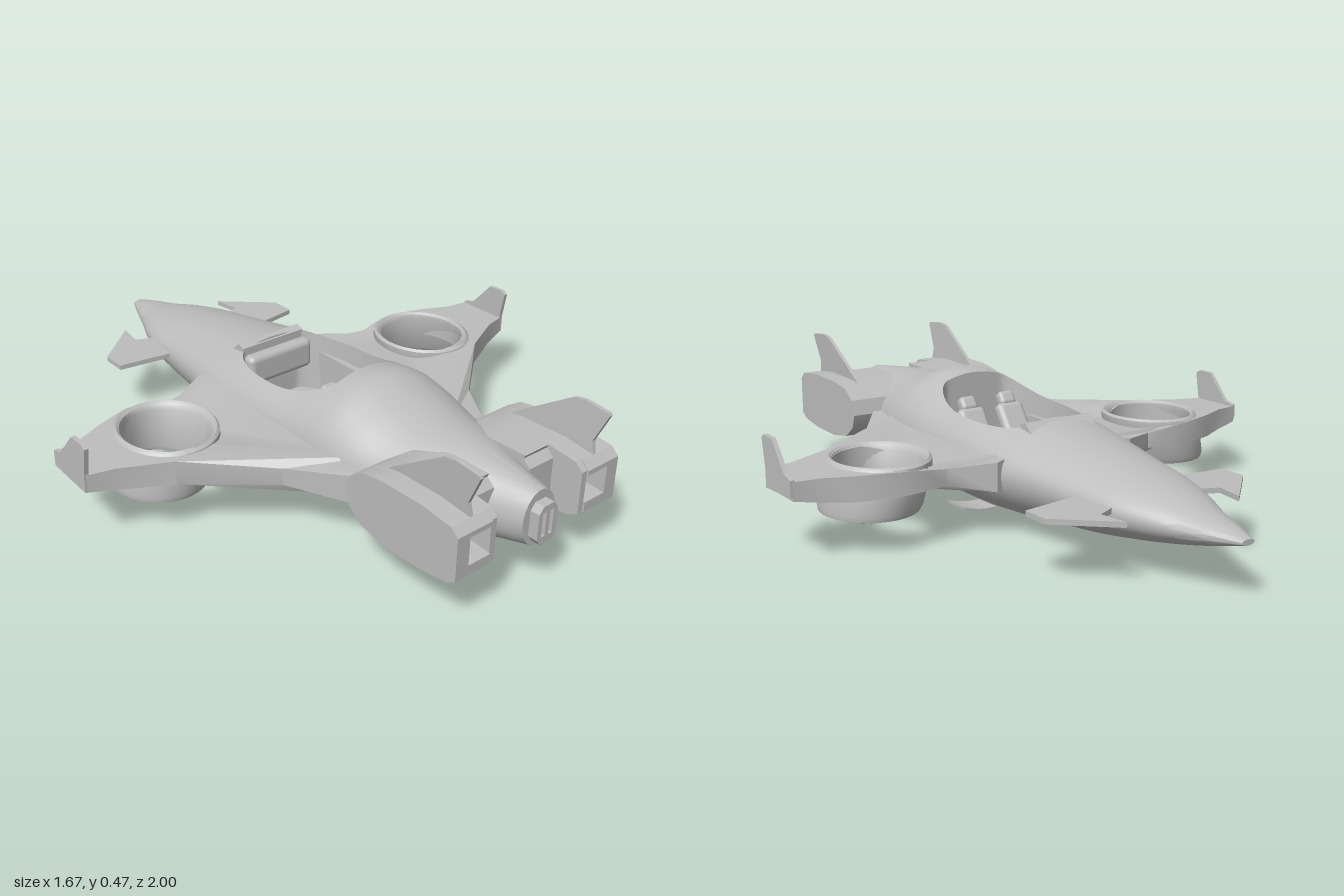
import * as THREE from 'three';
import { toCreasedNormals } from 'three/addons/utils/BufferGeometryUtils.js';
import { RoundedBoxGeometry } from 'three/addons/geometries/RoundedBoxGeometry.js';

const V2 = (p) => new THREE.Vector2(p[0], p[1]);

// Linear lookup in a list of [key, value]
function lookup(list, k) {
  for (let i = 1; i < list.length; i++) {
    if (k <= list[i][0]) {
      const [a, va] = list[i - 1], [b, vb] = list[i];
      return THREE.MathUtils.lerp(va, vb, Math.max(0, (k - a) / (b - a)));
    }
  }
  return list[list.length - 1][1];
}

// Mirror a geometry to the other side, keeping faces outward
function mirrored(geo) {
  const g = geo.index ? geo.toNonIndexed() : geo.clone();
  g.scale(-1, 1, 1);
  for (const key of ['position', 'normal']) {
    const a = g.attributes[key];
    for (let i = 0; i < a.count; i += 3) {
      const p = new THREE.Vector3().fromBufferAttribute(a, i + 1);
      const q = new THREE.Vector3().fromBufferAttribute(a, i + 2);
      a.setXYZ(i + 1, q.x, q.y, q.z);
      a.setXYZ(i + 2, p.x, p.y, p.z);
    }
  }
  return g;
}

function extrude(shape, depth) {
  return new THREE.ExtrudeGeometry(shape, { depth, bevelEnabled: false, curveSegments: 24 });
}
// Outline in (z, y), thickened from x0 to x1
function slabX(shape, x0, x1) {
  return extrude(shape, x1 - x0).rotateY(-Math.PI / 2).translate(x1, 0, 0);
}
// Outline in (x, z), thickened downward from y1 to y0
function slabY(shape, y0, y1) {
  return extrude(shape, y1 - y0).rotateX(Math.PI / 2).translate(0, y1, 0);
}
function reshape(geo, rule) {
  const a = geo.attributes.position, v = new THREE.Vector3();
  for (let i = 0; i < a.count; i++) {
    rule(v.fromBufferAttribute(a, i));
    a.setXYZ(i, v.x, v.y, v.z);
  }
  geo.computeVertexNormals();
  return geo;
}

// Hull stations: z, half width, top, bottom, height of widest line
const STATIONS = [
  [-1, .022, .175, .158, .166], [-.92, .055, .195, .135, .165], [-.84, .085, .21, .115, .165],
  [-.74, .13, .235, .095, .17], [-.64, .163, .255, .078, .175], [-.5, .185, .28, .055, .18],
  [-.35, .21, .303, .04, .19], [-.2, .238, .325, .025, .195], [0, .25, .355, .012, .2],
  [.15, .25, .37, .012, .2], [.28, .25, .398, .018, .2], [.36, .248, .407, .025, .2],
  [.45, .24, .385, .035, .2], [.55, .215, .36, .05, .2], [.7, .17, .345, .08, .21],
  [.85, .1, .33, .115, .22], [.97, .062, .315, .145, .23],
];
const COCKPIT = [-.17, .28], FLOOR = .11;

function hullGeometry() {
  const curve = new THREE.CubicInterpolant(
    STATIONS.map((s) => s[0]), STATIONS.flatMap((s) => s.slice(1)), 4, new Float32Array(4));
  const M = 16, K = 8, [c0, c1] = COCKPIT;

  function ring(z, open) {
    const [w, top, bot, mid] = Array.from(curve.evaluate(z));
    const u = (z - (c0 + c1) / 2) / ((c1 - c0) / 2);
    const rim = Math.min(.6 * w, .1) * 1 + (Math.abs(u) < 1 ? .08 * Math.sqrt(1 - u * u) : 0);
    const end = Math.acos(rim / w), half = [];
    for (let j = 0; j <= M; j++) {
      const t = THREE.MathUtils.lerp(-Math.PI / 2, end, j / M), s = Math.sin(t);
      half.push([w * Math.cos(t), mid + s * (s > 0 ? top - mid : mid - bot)]);
    }
    for (let k = 1; k <= K; k++) {
      const x = rim * (1 - k / K);
      if (open) half.push([k === 1 ? rim * .95 : x, FLOOR]);
      else half.push([x, mid + (top - mid) * Math.sqrt(1 - (x / w) ** 2)]);
    }
    const other = half.slice(1, -1).reverse().map(([x, y]) => [-x, y]);
    return [...half, ...other].map(([x, y]) => [x, y, z]);
  }

  const rings = [];
  const span = (a, b, n, open) => {
    for (let i = 0; i <= n; i++) {
      // closer spacing near the ends of the cockpit opening
      const t = open ? (1 - Math.cos(Math.PI * i / n)) / 2 : i / n;
      rings.push(ring(a + (b - a) * t, open));
    }
  };
  span(-1, c0, 34, false);
  span(c0, c1, 24, true);
  span(c1, .97, 30, false);

  const pos = rings.flat(2), idx = [], n = rings[0].length;
  for (let i = 0; i < rings.length - 1; i++) {
    for (let j = 0; j < n; j++) {
      const k = (j + 1) % n, a = i * n + j, b = i * n + k;
      idx.push(a, b, a + n, b, b + n, a + n);
    }
  }
  // end caps
  const last = (rings.length - 1) * n, mid = pos.length / 3;
  pos.push(0, .166, -1, 0, .23, .97);
  for (let j = 0; j < n; j++) {
    const k = (j + 1) % n;
    idx.push(mid, k, j, mid + 1, last + j, last + k);
  }
  const g = new THREE.BufferGeometry();
  g.setAttribute('position', new THREE.Float32BufferAttribute(pos, 3));
  g.setIndex(idx);
  return toCreasedNormals(g, .8);
}

function wingGeometry() {
  const shape = new THREE.Shape([[.15, -.2], [.25, -.235], [.38, -.17], [.46, -.185], [.55, -.185],
    [.66, -.15], [.75, -.11], [.83, -.1], [.83, .07], [.75, .09], [.6, .165], [.37, .36],
    [.235, .56], [.15, .5]].map(V2));
  shape.holes.push(new THREE.Path().absellipse(.52, -.02, .135, .15, 0, Math.PI * 2, true));
  const upper = [[.15, .25], [.3, .235], [.4, .225], [.5, .248], [.83, .245]];
  const lower = [[.15, .12], [.25, .15], [.4, .18], [.5, .175], [.72, .17], [.83, .19]];
  return toCreasedNormals(reshape(slabY(shape, 0, 1), (v) => {
    v.y = THREE.MathUtils.lerp(lookup(lower, v.x), lookup(upper, v.x), v.y);
  }), .6);
}

function ductGeometry() {
  const profile = [[.135, .1], [.146, .104], [.152, .12], [.156, .23], [.152, .25], [.143, .257],
    [.133, .25], [.128, .235], [.128, .115], [.135, .1]].map(V2);
  const g = new THREE.LatheGeometry(profile, 48).scale(1, 1, 1.12);
  // the lower end leans outboard
  reshape(g, (v) => { v.x += .517 + (.25 - v.y) * .25; v.z -= .01; });
  return toCreasedNormals(g, .7);
}

// Side outline of an engine pod, optionally with a notch for the square intake
function podShape(front, notch) {
  const pts = [[front, .17], [front - .03, .152], [.85, .138], [.72, .135], [.62, .152], [.572, .19],
    [.556, .235], [.572, .285], [.62, .318], [.7, .33], [.85, .333], [front - .025, .322], [front, .3]];
  if (notch) pts.push([front, .285], [.83, .275], [.83, .21], [front, .2]);
  return new THREE.Shape(pts.map(V2));
}

export function createModel() {
  const model = new THREE.Group();
  const grey = new THREE.MeshStandardMaterial({ color: 0xbdbdbd, side: THREE.DoubleSide });
  grey.name = 'hull grey';
  const add = (name, geo) => {
    const m = new THREE.Mesh(geo, grey);
    m.name = name;
    model.add(m);
  };
  const pair = (name, geo) => {
    add(name + 'Left', geo);
    add(name + 'Right', mirrored(geo));
  };
  const outline = (pts) => new THREE.Shape(pts.map(V2));

  add('hull', hullGeometry());
  pair('wing', wingGeometry());
  pair('liftDuct', ductGeometry());

  // Wing tip fins
  pair('wingTipFin', slabX(outline([[-.1, .2], [.07, .19], [.07, .25], [.085, .335], [.07, .346],
    [.015, .345], [-.06, .26], [-.1, .25]]), .822, .836));

  // Small fins beside the pointed end
  pair('canard', slabY(outline([[.1, -.62], [.16, -.65], [.215, -.675], [.2, -.765], [.36, -.62],
    [.36, -.535], [.19, -.51], [.1, -.5]]), .178, .194));

  // Engine pods in slices, the middle slice holding the intake
  pair('podOuter', toCreasedNormals(slabX(podShape(.975), .265, .31), .6));
  pair('podIntake', toCreasedNormals(slabX(podShape(.975, true), .185, .265), .6));
  pair('podInner', toCreasedNormals(slabX(podShape(.97), .165, .185), .6));
  pair('podRoot', toCreasedNormals(slabX(podShape(.87), .07, .165), .6));

  // Upright fins on the pods, leaning slightly outward
  pair('podFin', reshape(slabX(outline([[.98, .45], [.975, .458], [.9, .465], [.86, .458], [.64, .315],
    [.95, .315], [.94, .36]]), .231, .243), (v) => { v.x += (v.y - .32) * .06; }));

  // Slotted nozzle in the middle
  const nozzle = outline([[-.02, .165], [.02, .165], [.036, .185], [.036, .265], [.02, .285],
    [-.02, .285], [-.036, .265], [-.036, .185]]);
  for (const x of [-.014, .014]) {
    nozzle.holes.push(new THREE.Path([[x - .007, .19], [x - .007, .265], [x + .007, .265],
      [x + .007, .19]].map(V2)));
  }
  add('nozzle', extrude(nozzle, .04).translate(0, 0, .96));

  // Cockpit: cowl, dashboard and reclined seats
  const cowl = slabX(outline([[-.245, .305], [-.19, .355], [-.165, .345], [-.165, .29]]), -.12, .12);
  add('cowl', reshape(cowl, (v) => { v.y -= v.x * v.x * 1.6; }));
  add('dashboard', new RoundedBoxGeometry(.25, .1, .05, 3, .02).translate(0, .255, -.14));
  add('console', new RoundedBoxGeometry(.03, .06, .26, 2, .01).translate(0, .13, .06));
  pair('seatCushion', new RoundedBoxGeometry(.1, .05, .15, 3, .02).translate(.075, .135, .02));
  pair('seatBack', new RoundedBoxGeometry(.1, .2, .045, 3, .02).rotateX(.6).translate(.075, .215, .14));
  pair('headrest', new RoundedBoxGeometry(.06, .05, .04, 3, .015).rotateX(.6).translate(.075, .31, .205));

  // Thin curved skids under the belly
  pair('skid', reshape(new THREE.BoxGeometry(.12, .008, .1, 8, 1, 1), (v) => {
    v.x += .14;
    v.y += .004 + Math.max(0, v.x - .1) ** 2 * 1.8;
    v.z += .08;
  }));

  return model;
}
